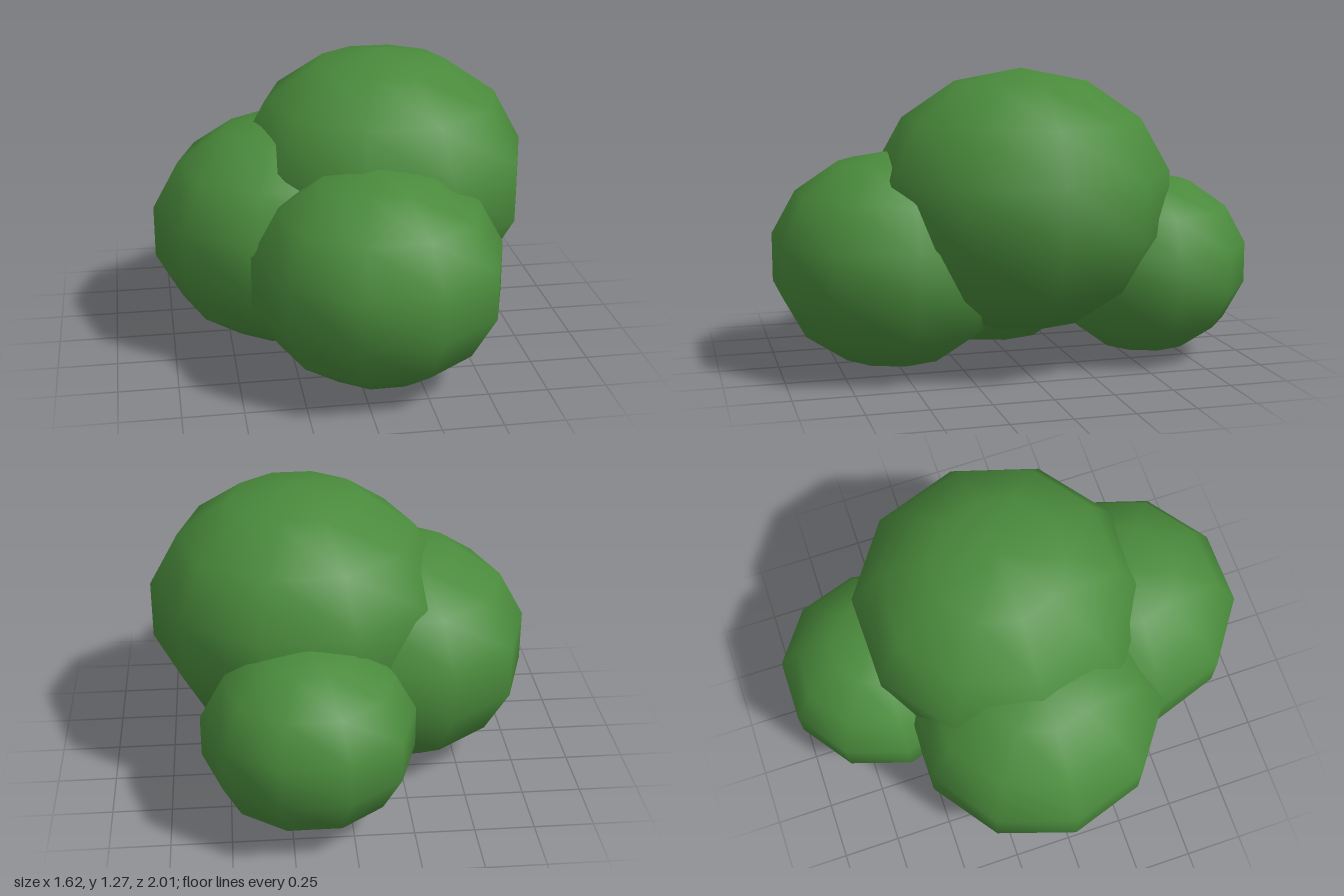
import * as THREE from 'three';

// A bush made of four overlapping, slightly squashed low-poly globes.
export function createModel() {
  const bush = new THREE.Group();
  bush.name = 'bush';

  const leafGreen = new THREE.MeshStandardMaterial({ color: 0x4a8b3c });
  leafGreen.name = 'leaf green';

  // name, centre, horizontal radius, vertical radius, turn about y
  const clumps = [
    ['mainClump', [0.18, 0.715, -0.02], 0.645, 0.556, 0.02],
    ['rightClump', [-0.256, 0.5, 0], 0.571, 0.498, 0],
    ['frontClump', [0.08, 0.469, 0.509], 0.536, 0.46, 0.015],
    ['backClump', [0.173, 0.416, -0.585], 0.449, 0.395, 0],
  ];

  const globe = new THREE.SphereGeometry(1, 10, 7);
  for (const [name, centre, radius, height, turn] of clumps) {
    const clump = new THREE.Mesh(globe, leafGreen);
    clump.name = name;
    clump.position.set(...centre);
    clump.scale.set(radius, height, radius);
    clump.rotation.y = turn;
    bush.add(clump);
  }
  return bush;
}
